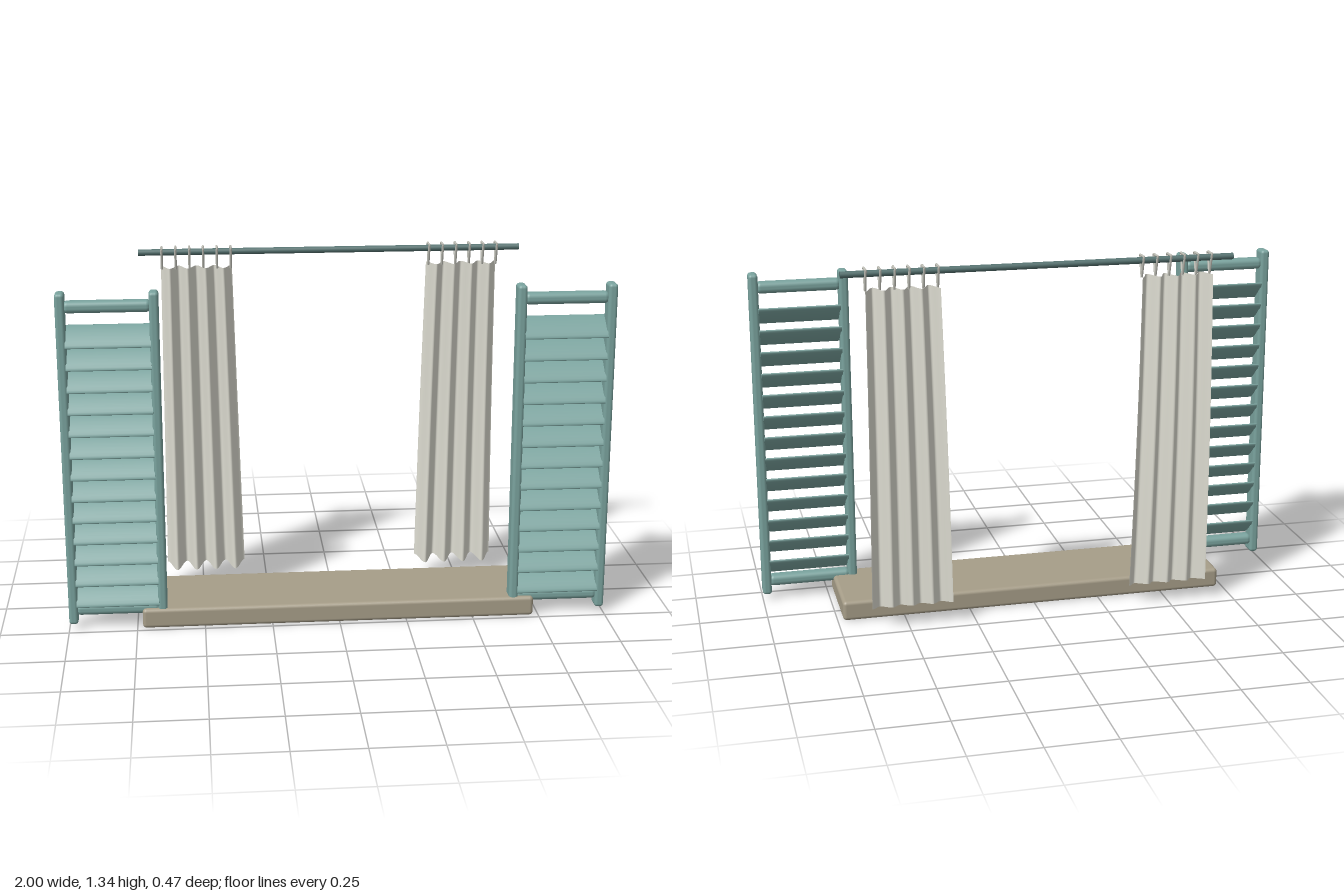
import * as THREE from 'three';
import { RoundedBoxGeometry } from 'three/addons/geometries/RoundedBoxGeometry.js';

const mat = (name, color, side = THREE.FrontSide) => {
  const m = new THREE.MeshStandardMaterial({ color, side });
  m.name = name;
  return m;
};

export function createModel() {
  const teal = mat('shutter teal', 0x7aa39e);
  const darkTeal = mat('rod dark teal', 0x567371);
  const stone = mat('sill stone', 0xa69d88);
  const linen = mat('curtain linen', 0xdcdbd0, THREE.DoubleSide);
  const metal = mat('ring grey', 0xc4c4bb);

  const group = new THREE.Group();
  group.name = 'windowDressing';
  const add = (parent, name, geo, material, x, y, z) => {
    const mesh = new THREE.Mesh(geo, material);
    mesh.name = name;
    mesh.position.set(x, y, z);
    parent.add(mesh);
    return mesh;
  };

  // Window sill
  add(group, 'sill', new RoundedBoxGeometry(1.46, 0.075, 0.342, 3, 0.014), stone, 0, 0.0375, 0.064);

  // Curtain rod
  const rod = add(group, 'curtainRod', new THREE.CylinderGeometry(0.012, 0.012, 1.43, 16), darkTeal, 0, 1.325, -0.195);
  rod.rotation.z = Math.PI / 2;

  // Shared shutter pieces
  const stileGeo = new RoundedBoxGeometry(0.034, 1.243, 0.064, 3, 0.012);
  const railGeo = new RoundedBoxGeometry(0.31, 0.043, 0.05, 3, 0.018);
  const slatGeo = new THREE.CylinderGeometry(1, 1, 0.302, 20).rotateZ(Math.PI / 2);
  slatGeo.scale(1, 0.011, 0.052);
  slatGeo.rotateX(0.74); // front edge low, back edge high

  // Triangular hanging ring, apex at the curtain
  const corners = [[0, 1.262, -0.193], [0, 1.341, -0.169], [0, 1.341, -0.217]].map(c => new THREE.Vector3(...c));
  const ringPath = new THREE.CurvePath();
  corners.forEach((c, i) => ringPath.add(new THREE.LineCurve3(c, corners[(i + 1) % 3])));
  const ringGeo = new THREE.TubeGeometry(ringPath, 36, 0.0045, 6, true);

  // Pleated curtain: four folds, flaring and bowing towards the bottom
  const curtainGeometry = side => {
    const geo = new THREE.PlaneGeometry(1, 1, 64, 16);
    const p = geo.attributes.position;
    for (let i = 0; i < p.count; i++) {
      const u = p.getX(i) + 0.5, t = 0.5 - p.getY(i); // t runs from top to bottom
      const inner = 0.367 - 0.03 * t, outer = 0.632 + 0.006 * t;
      const fold = -Math.cos(u * 8 * Math.PI);
      const z = -0.194 - 0.012 * Math.sin(Math.PI * t) + fold * 0.029;
      const y = 1.268 - 1.189 * t - 0.008 * fold * t;
      p.setXYZ(i, side * (inner + (outer - inner) * u), y, z);
    }
    geo.computeVertexNormals();
    return geo;
  };

  for (const side of [-1, 1]) {
    const label = side > 0 ? 'left' : 'right';

    // Louvred shutter
    const shutter = new THREE.Group();
    shutter.name = label + 'Shutter';
    group.add(shutter);
    add(shutter, 'outerStile', stileGeo, teal, side * 0.983, 0.643, 0.196);
    add(shutter, 'innerStile', stileGeo, teal, side * 0.655, 0.643, 0.196);
    add(shutter, 'topRail', railGeo, teal, side * 0.819, 1.212, 0.194);
    add(shutter, 'bottomRail', railGeo, teal, side * 0.819, 0.073, 0.194);
    for (let i = 0; i < 13; i++) {
      add(shutter, 'slat', slatGeo, teal, side * 0.819, 0.126 + i * 0.0815, 0.196);
    }

    // Curtain with its six rings
    const drape = new THREE.Group();
    drape.name = label + 'Curtain';
    group.add(drape);
    add(drape, 'cloth', curtainGeometry(side), linen, 0, 0, 0);
    for (let i = 0; i < 6; i++) {
      add(drape, 'ring', ringGeo, metal, side * (0.372 + i * 0.0512), 0, 0);
    }
  }
  return group;
}
